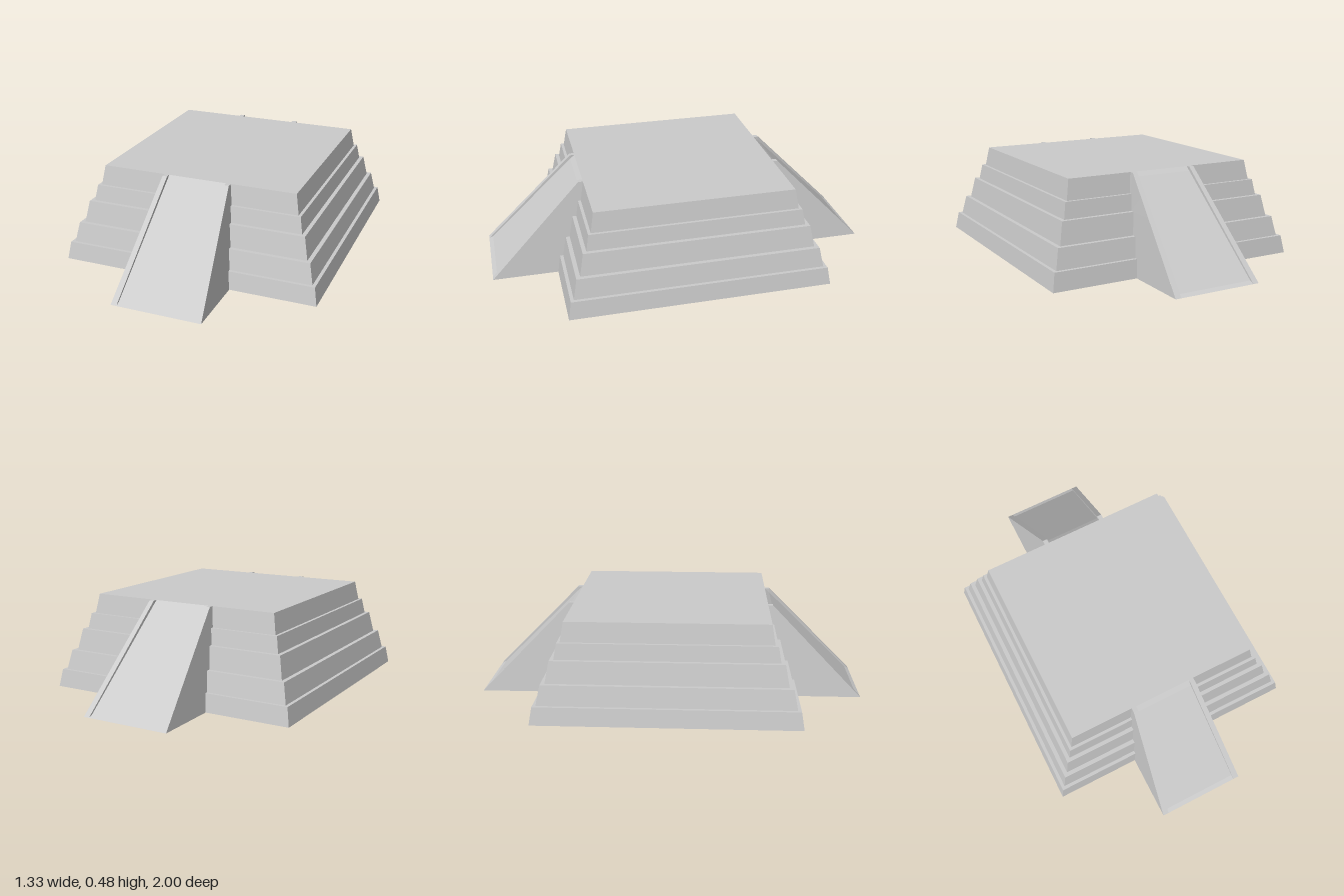
import * as THREE from 'three';

const material = new THREE.MeshStandardMaterial({ color: 0xcccccc, flatShading: true, side: THREE.DoubleSide });

const TOP = 0.48;
// Terrace profile: [distance from centre, height]
const terrace = [
  [0.666, 0], [0.651, 0.09], [0.634, 0.09], [0.614, 0.19], [0.593, 0.19],
  [0.572, 0.3], [0.552, 0.3], [0.538, 0.38], [0.523, 0.38], [0.506, TOP],
];
const EDGE = 0.506;

// Ramp outlines: sides lean inwards with height
const outerX = (y) => 0.23 - 0.055 * y / TOP;
const innerX = (z) => 0.2 - 0.05 * Math.min(1, (1 - z) / 0.47);
const rampZ = (y) => 1 - 0.47 * y / TOP;

// Surface between two polylines, a on the left and b on the right seen from outside
function strip(name, a, b) {
  const pos = [];
  for (let i = 0; i < a.length - 1; i++) {
    pos.push(...a[i], ...b[i], ...b[i + 1], ...a[i], ...b[i + 1], ...a[i + 1]);
  }
  const g = new THREE.BufferGeometry();
  g.setAttribute('position', new THREE.Float32BufferAttribute(pos, 3));
  g.computeVertexNormals();
  const mesh = new THREE.Mesh(g, material);
  mesh.name = name;
  return mesh;
}

const flip = (line) => line.map(([x, y, z]) => [-x, y, z]);

// A strip and its mirror image across x = 0
function pair(name, a, b) {
  return [strip(name + 'Left', a, b), strip(name + 'Right', flip(b), flip(a))];
}

// Strip symmetric across x = 0, from its +x edge
const across = (name, edge) => strip(name, flip(edge), edge);

function stairSide() {
  const side = new THREE.Group();

  // Terraced wall either side of the ramp opening
  side.add(...pair('terraceWall',
    terrace.map(([w, y]) => [outerX(y), y, w]),
    terrace.map(([w, y]) => [w, y, w])));

  // Leaning ramp flanks that meet the terraces
  side.add(...pair('rampFlank',
    terrace.map(([, y]) => [outerX(y), y, rampZ(y)]),
    terrace.map(([w, y]) => [outerX(y), y, w])));

  // Balustrade tops with a short level end
  const cap = [[0, 1], [0.0225, 0.978], [TOP, 0.53], [TOP, EDGE]];
  const capInner = cap.map(([y, z]) => [innerX(z), y, z]);
  side.add(...pair('balustrade', capInner, cap.map(([y, z]) => [outerX(y), y, z])));

  // Slightly sunken ramp and the curbs down to it
  const ramp = [[0, 1], [0.012, 0.978], [0.46, 0.53], [TOP, EDGE]]
    .map(([y, z]) => [innerX(z), y, z]);
  side.add(across('ramp', ramp));
  side.add(...pair('curb', ramp, capInner));

  // Flat underside of the ramp foot
  side.add(strip('rampFoot',
    [[0.23, 0, 0.965], [0.23, 0, 1]], [[-0.23, 0, 0.965], [-0.23, 0, 1]]));

  // Steps carried beneath the ramp
  const steps = [];
  for (let i = 0; i < 23; i++) {
    const z = 0.965 - i * 0.02;
    steps.push([innerX(z), i * 0.02, z], [innerX(z), (i + 1) * 0.02, z]);
  }
  side.add(across('steps', steps));
  return side;
}

export function createModel() {
  const model = new THREE.Group();
  model.name = 'steppedPyramid';

  // Front and back with ramps, plain terraces left and right
  for (const [name, turn] of [['front', 0], ['back', Math.PI]]) {
    const side = stairSide();
    side.name = name + 'Side';
    side.rotation.y = turn;
    model.add(side);
  }
  for (const [name, turn] of [['left', 1], ['right', -1]]) {
    const wall = across(name + 'TerraceWall', terrace.map(([w, y]) => [w, y, w]));
    wall.rotation.y = turn * Math.PI / 2;
    model.add(wall);
  }

  // Flat summit
  const summit = across('summit', [[EDGE, TOP, EDGE], [EDGE, TOP, -EDGE]]);
  model.add(summit);
  return model;
}
